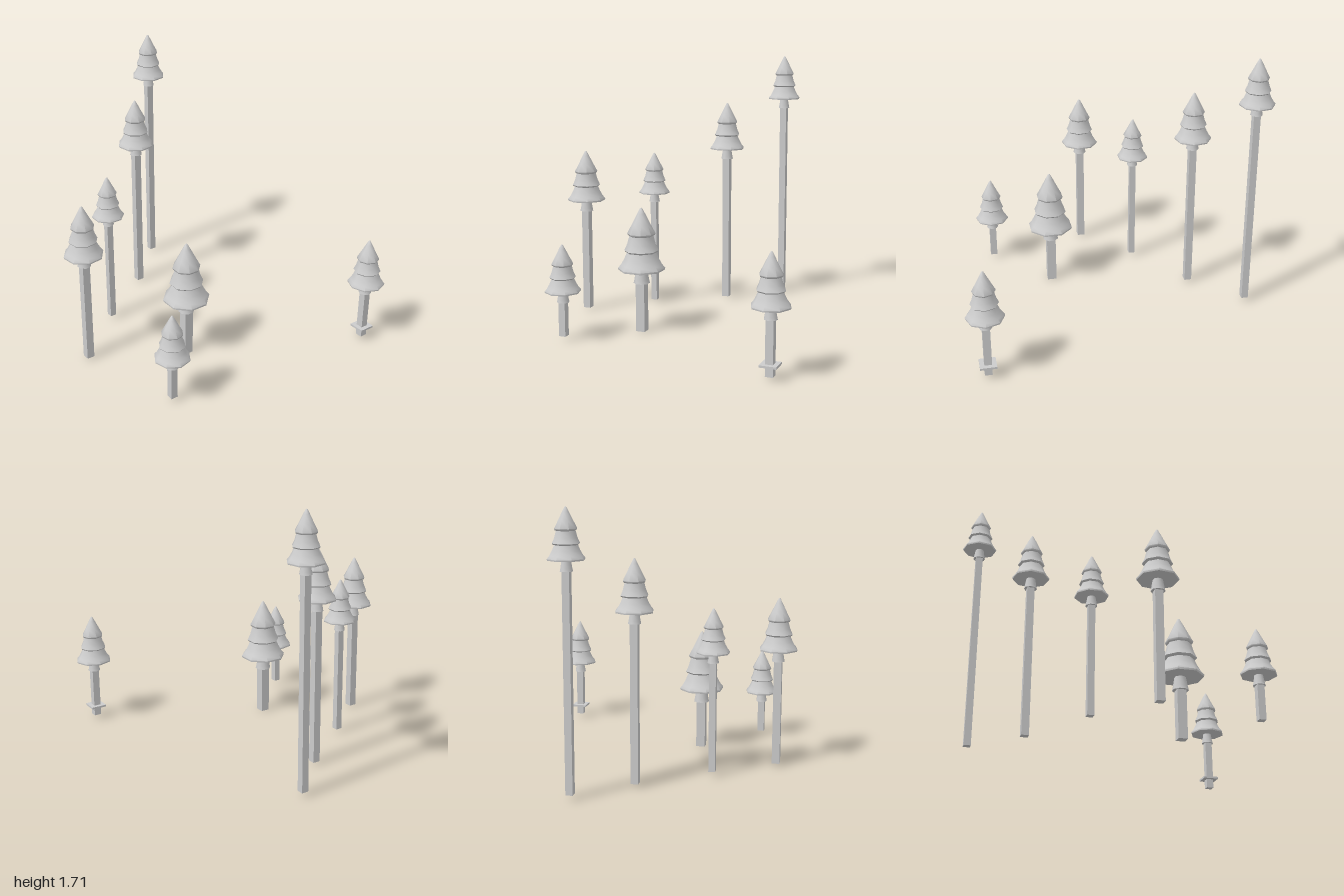
import * as THREE from 'three';
import { toCreasedNormals } from 'three/addons/utils/BufferGeometryUtils.js';

const grey = new THREE.MeshStandardMaterial({ color: 0xcccccc });
grey.name = 'light grey';

// Eight-sided turned shape, smooth around and sharp at tier edges
function turned(points) {
  const profile = points.map(([r, y]) => new THREE.Vector2(r, y));
  return toCreasedNormals(new THREE.LatheGeometry(profile, 8, Math.PI / 8), Math.PI / 3);
}

// Crown of unit height: three flared tiers, base at y = 0
const crownGeometry = turned([
  [0, 0], [0.368, 0], [0.375, 0.03], [0.325, 0.09], [0.275, 0.18], [0.23, 0.285],
  [0.25, 0.29], [0.272, 0.315], [0.225, 0.42], [0.19, 0.55],
  [0.21, 0.56], [0.224, 0.59], [0.145, 0.74], [0.065, 0.9], [0.02, 0.985], [0, 1],
]);

// Flared collar beneath the crown
const collarGeometry = turned([[0, -0.215], [0.13, -0.215], [0.118, -0.16], [0.09, 0], [0, 0]]);

function part(name, geometry) {
  const mesh = new THREE.Mesh(geometry, grey);
  mesh.name = name;
  return mesh;
}

function makeTree({ x, z, base, skirt, top, turn }) {
  const tree = new THREE.Group();
  tree.name = 'tree';
  tree.position.set(x, 0, z);
  const size = top - skirt;

  for (const [name, geometry] of [['crown', crownGeometry], ['collar', collarGeometry]]) {
    const mesh = part(name, geometry);
    mesh.scale.setScalar(size);
    mesh.position.y = skirt;
    mesh.rotation.y = turn;
    tree.add(mesh);
  }

  // Square post from the base up into the collar
  const width = 0.148 * size;
  const postTop = skirt - 0.15 * size;
  const post = part('post', new THREE.BoxGeometry(width, postTop - base, width));
  post.position.y = (postTop + base) / 2;
  tree.add(post);
  return tree;
}

export function createModel() {
  const model = new THREE.Group();
  model.name = 'trees on posts';
  const trees = [
    { x: -0.89, z: -0.31, base: 0.03, skirt: 1.41, top: 1.71, turn: 0.2 },
    { x: -0.585, z: 0.005, base: 0.02, skirt: 1.075, top: 1.395, turn: 0.2 },
    { x: -0.283, z: 0.425, base: 0.03, skirt: 0.785, top: 1.065, turn: 0 },
    { x: 0.022, z: 0.79, base: 0.015, skirt: 0.76, top: 1.095, turn: 0.15 },
    { x: 0.328, z: 0.24, base: 0, skirt: 0.4, top: 0.8, turn: 0 },
    { x: 0.692, z: 0.605, base: 0.03, skirt: 0.31, top: 0.61, turn: 0.25 },
    { x: 0.873, z: -0.795, base: 0.02, skirt: 0.415, top: 0.73, turn: 0.35 },
  ].map(makeTree);
  model.add(...trees);

  // Thin square plate around the post of the last tree
  const plate = part('plate', new THREE.BoxGeometry(0.102, 0.013, 0.102));
  plate.position.y = 0.086;
  trees[trees.length - 1].add(plate);
  return model;
}
